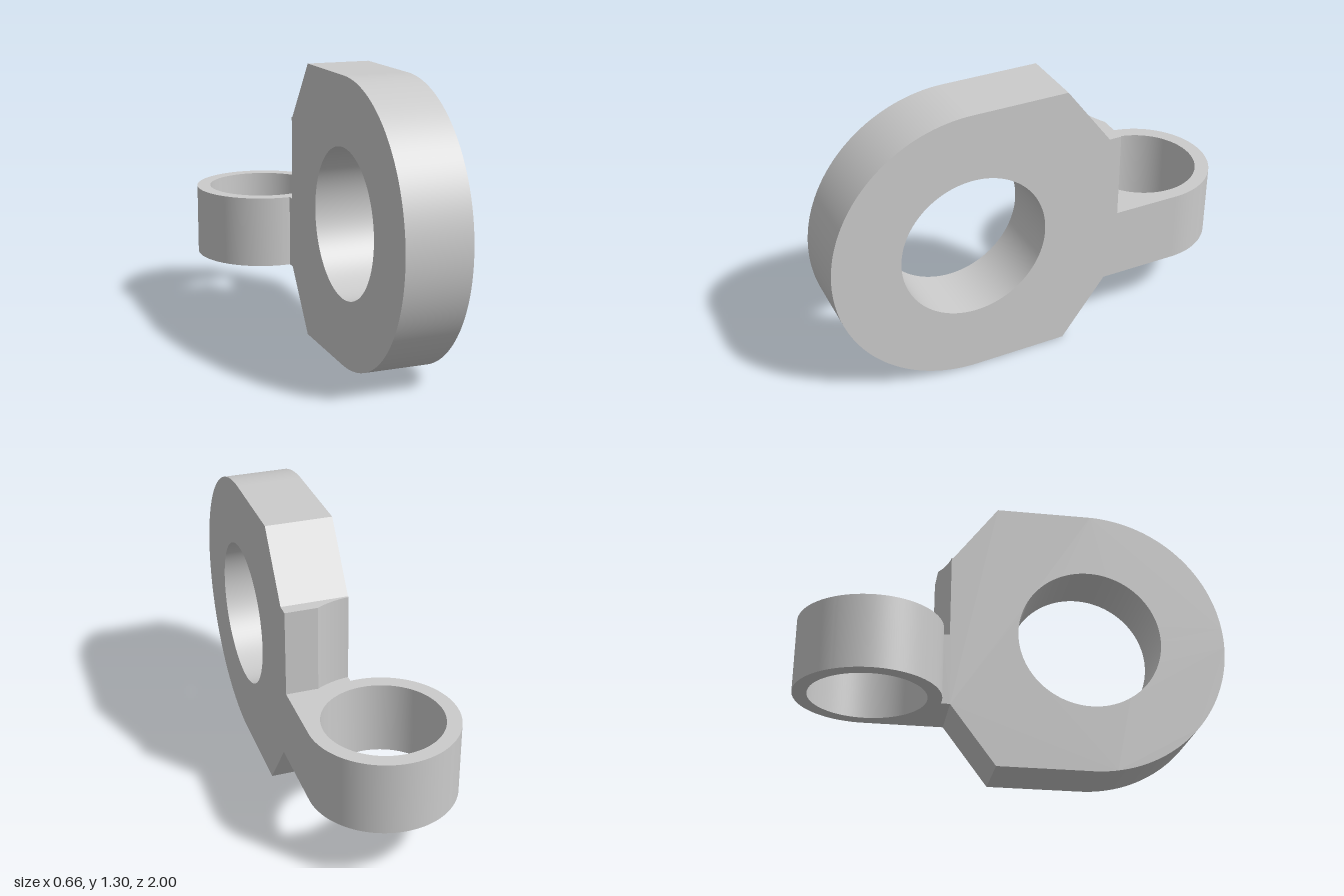
import * as THREE from 'three';
import { toCreasedNormals } from 'three/addons/utils/BufferGeometryUtils.js';

const X0 = 0.03, X1 = 0.33;      // plate thickness range
const BACK = 0.3;                // plate back edge, as -z
const RING = 0.67;               // ring axis, as -z
const LOW = 0.28, MID = 0.62, HIGH = 1.02, TOP = 1.3;

export function createModel() {
  const group = new THREE.Group();
  const material = new THREE.MeshStandardMaterial({ color: 0xcccccc });

  const extrude = (name, shape, depth) => {
    const raw = new THREE.ExtrudeGeometry(shape, { depth, bevelEnabled: false, curveSegments: 72 });
    const mesh = new THREE.Mesh(toCreasedNormals(raw, 0.3), material);
    mesh.name = name;
    group.add(mesh);
    return mesh;
  };
  const circle = (x, y, r) => new THREE.Path().absarc(x, y, r, 0, Math.PI * 2, true);

  // Round-fronted plate with chamfered back corners, drawn in (-z, y)
  const plate = new THREE.Shape();
  plate.moveTo(-0.35, 0);
  plate.lineTo(0.09, 0);
  plate.lineTo(BACK, LOW);
  plate.lineTo(BACK, HIGH);
  plate.lineTo(0.09, TOP);
  plate.lineTo(-0.35, TOP);
  plate.absarc(-0.35, TOP / 2, TOP / 2, Math.PI / 2, Math.PI * 1.5, false);
  plate.holes.push(circle(-0.35, TOP / 2, 0.34));
  const plateMesh = extrude('plate', plate, X1 - X0);
  plateMesh.rotation.y = Math.PI / 2;
  plateMesh.position.x = X0;

  // Ring lug with its web tangent to the plate side, drawn in (x, -z)
  const R = 0.33;
  const lug = new THREE.Shape();
  lug.moveTo(X0, BACK);
  lug.lineTo(X1, BACK);
  lug.lineTo(X1, RING);
  lug.absarc(0, RING, R, 0, Math.PI * 2 - Math.acos(X0 / R), false);
  lug.closePath();
  lug.holes.push(circle(0, RING, 0.265));
  const lugMesh = extrude('ringLug', lug, MID - LOW);
  lugMesh.rotation.x = -Math.PI / 2;
  lugMesh.position.y = LOW;

  // Rear block above the lug, hollowed concentric with the ring
  const C = 0.363, rear = 0.357;
  const block = new THREE.Shape();
  block.moveTo(X0, BACK);
  block.lineTo(X1, BACK);
  block.lineTo(X1, rear);
  block.absarc(0, RING, C, -Math.asin((RING - rear) / C), -Math.acos(X0 / C), true);
  block.closePath();
  const blockMesh = extrude('rearBlock', block, HIGH - MID);
  blockMesh.rotation.x = -Math.PI / 2;
  blockMesh.position.y = MID;

  return group;
}
